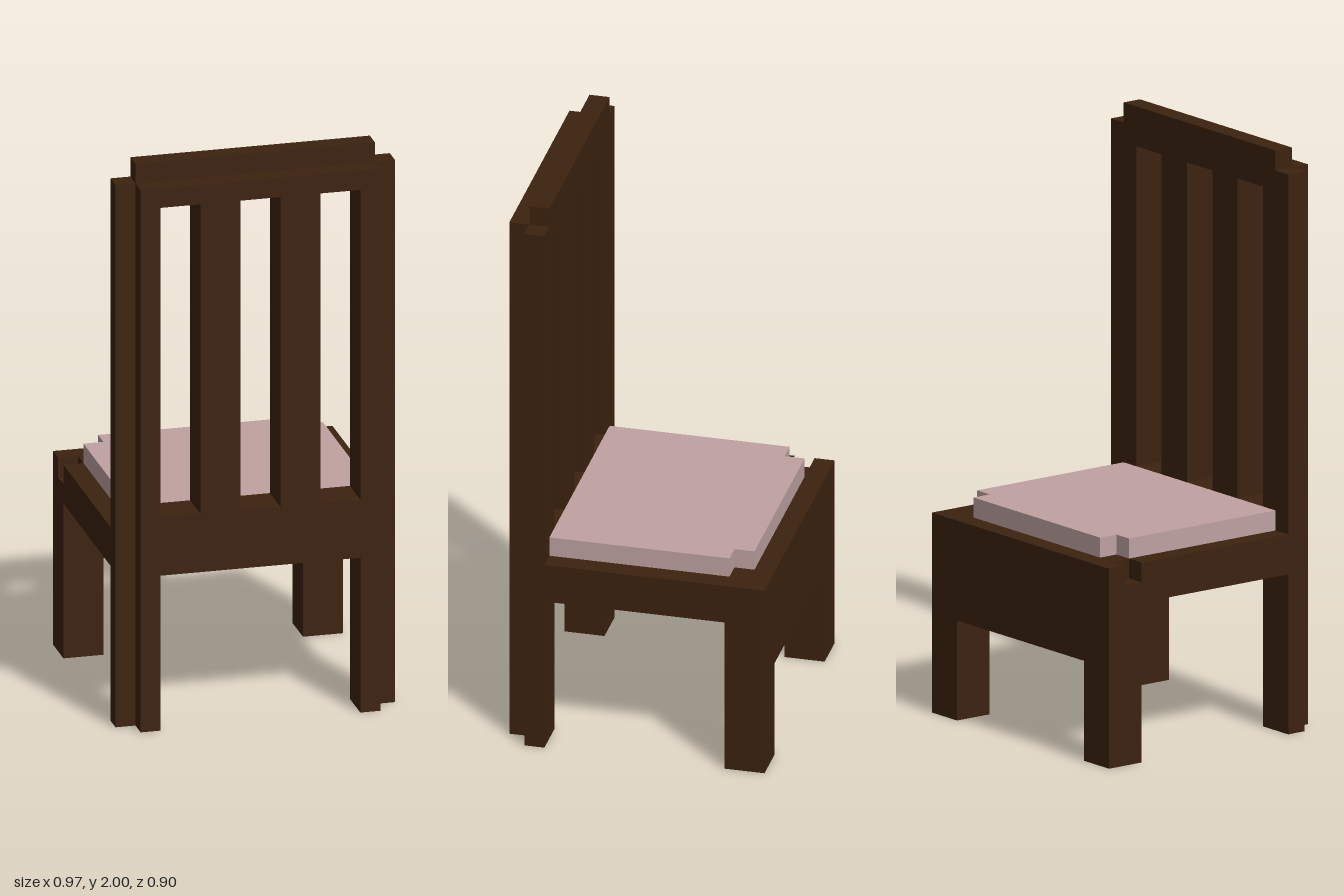
import * as THREE from 'three';

const U = 2 / 29; // one block; the chair is 14 x 29 x 13 blocks

export function createModel() {
  const chair = new THREE.Group();
  chair.name = 'chair';
  const wood = new THREE.MeshStandardMaterial({ color: 0x3c220f });
  wood.name = 'dark wood';
  const fabric = new THREE.MeshStandardMaterial({ color: 0xc0a2a2 });
  fabric.name = 'dusty pink fabric';

  function add(name, geometry, material) {
    const mesh = new THREE.Mesh(geometry, material);
    mesh.name = name;
    chair.add(mesh);
  }

  // Box between block coordinates, centred on x = 7 and z = 6.5
  function box(name, x0, x1, y0, y1, z0, z1, material = wood) {
    const g = new THREE.BoxGeometry((x1 - x0) * U, (y1 - y0) * U, (z1 - z0) * U);
    g.translate(((x0 + x1) / 2 - 7) * U, ((y0 + y1) / 2) * U, ((z0 + z1) / 2 - 6.5) * U);
    add(name, g, material);
  }

  // Upright prism from a plan outline of [x, z] block corners
  function prism(name, outline, y0, y1, material = wood) {
    const shape = new THREE.Shape(
      outline.map(([x, z]) => new THREE.Vector2((x - 7) * U, (6.5 - z) * U)));
    const g = new THREE.ExtrudeGeometry(shape, { depth: (y1 - y0) * U, bevelEnabled: false });
    g.rotateX(-Math.PI / 2).translate(0, y0 * U, 0);
    add(name, g, material);
  }

  // Back posts with a notched outer corner, and the square legs opposite
  const post = [[0, 11], [2, 11], [2, 13], [1, 13], [1, 12], [0, 12]];
  prism('rightBackPost', post, 0, 28);
  prism('leftBackPost', post.map(([x, z]) => [14 - x, z]), 0, 28);
  box('rightLeg', 0, 2, 0, 8, 0, 2);
  box('leftLeg', 12, 14, 0, 8, 0, 2);

  // Backrest
  box('backPanel', 2, 12, 8, 11, 11, 13);
  box('rightSlat', 4, 6, 11, 27, 11, 13);
  box('leftSlat', 8, 10, 11, 27, 11, 13);
  box('backRail', 2, 12, 27, 28, 11, 13);
  box('topRail', 1, 13, 28, 29, 11, 12);

  // Seat with its small edge notch, deep apron and cushion
  box('seatBase', 0, 14, 8, 9, 0, 11);
  prism('seatTop', [[0, 0], [14, 0], [14, 11], [0, 11], [0, 2], [1, 2], [1, 1], [0, 1]], 9, 10);
  box('apron', 2, 12, 5, 8, 0, 2);
  prism('cushion', [[2, 1], [12, 1], [12, 2], [13, 2], [13, 11], [1, 11], [1, 2], [2, 2]], 10, 11, fabric);

  return chair;
}
